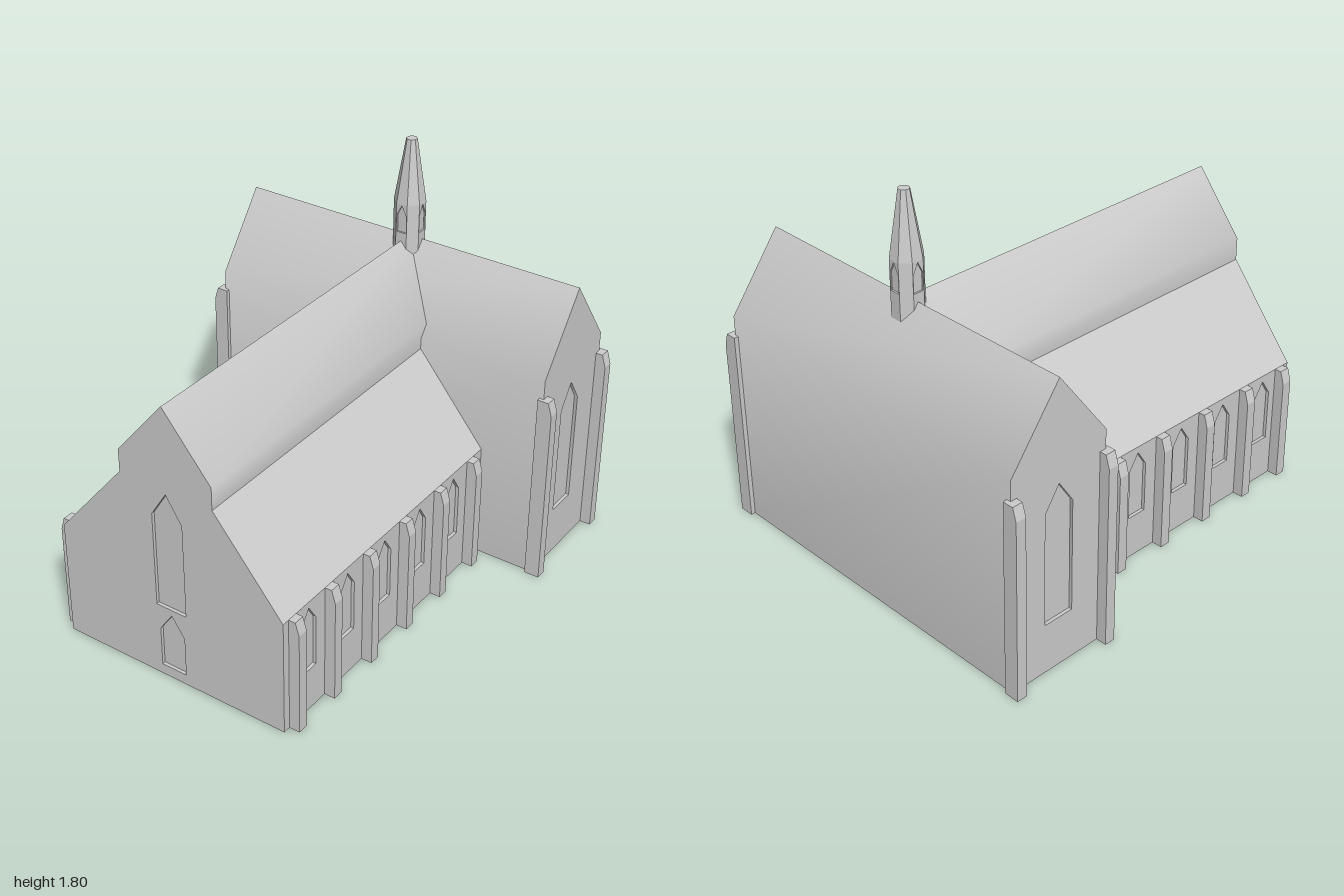
import * as THREE from 'three';
import { toCreasedNormals } from 'three/addons/utils/BufferGeometryUtils.js';

const stone = new THREE.MeshStandardMaterial({ color: 0xcccccc });
stone.name = 'paleStone';

const polygon = (pts) => new THREE.Shape(pts.map(([x, y]) => new THREE.Vector2(x, y)));

// Symmetric outline from its right half, listed bottom to top
const mirrored = (half, cx = 0) => polygon([
  ...half.map(([x, y]) => [cx + x, y]),
  ...half.slice().reverse().filter(([x]) => x > 0).map(([x, y]) => [cx - x, y]),
]);

// Pointed opening: centre, half width, sill, shoulder, apex
const lancet = (cx, w, sill, shoulder, apex) =>
  mirrored([[w, sill], [w, shoulder], [0, apex]], cx);

// Extrude from z0 to z1
function slab(shape, z0, z1) {
  const g = new THREE.ExtrudeGeometry(shape, { depth: z1 - z0, bevelEnabled: false });
  return g.translate(0, 0, z0);
}
// Extrude from x0 to x1, with the outline's horizontal axis along z
const slabX = (shape, x0, x1) => slab(shape, x0, x1).rotateY(Math.PI / 2);

export function createModel() {
  const root = new THREE.Group();
  root.name = 'church';
  const add = (name, geometry, parent = root) => {
    const m = new THREE.Mesh(geometry, stone);
    m.name = name;
    parent.add(m);
    return m;
  };
  const RECESS = 0.015;

  // Nave with sloping aisle roofs; window and door in the end wall
  const endWindow = () => lancet(0, 0.075, 0.36, 0.81, 0.93);
  const endDoor = () => lancet(0, 0.062, 0.05, 0.24, 0.33);
  const nave = mirrored([[0.545, 0], [0.545, 0.55], [0.56, 0.55], [0.23, 0.95]]);
  nave.holes.push(endWindow(), endDoor());
  add('naveAndAisles', slabX(nave, -1, 0.5));
  add('endWindowPane', slabX(endWindow(), -1 + RECESS, -0.97));
  add('endDoorPanel', slabX(endDoor(), -1 + RECESS, -0.97));

  // Clerestory and main roof, running into the crossing
  const upper = mirrored([[0.23, 0.95], [0.23, 1.055], [0, 1.335]]);
  add('clerestoryAndRoof', toCreasedNormals(slabX(upper, -1, 0.73), 0.75));

  // Aisle walls with five recessed windows each
  for (const side of [1, -1]) {
    const wall = polygon([[-1, 0], [0.5, 0], [0.5, 0.55], [-1, 0.55]]);
    for (let i = 0; i < 5; i++) {
      wall.holes.push(lancet(-0.83 + i * 0.27, 0.048, 0.205, 0.445, 0.52));
    }
    const [a, b] = side > 0 ? [0.545, 0.56] : [-0.56, -0.545];
    add(side > 0 ? 'frontAisleWall' : 'backAisleWall', slab(wall, a, b));
  }

  // Transept with a tall window in each gable
  const TX = 0.73, TZ = 0.845;
  const gableWindow = () => lancet(TX, 0.073, 0.235, 0.76, 0.87);
  const transept = mirrored([[0.25, 0], [0.25, 1.0], [0, 1.335]], TX);
  transept.holes.push(gableWindow());
  add('transept', toCreasedNormals(slab(transept, -TZ, TZ), 0.7));
  add('frontGablePane', slab(gableWindow(), TZ - 0.03, TZ - RECESS));
  add('backGablePane', slab(gableWindow(), -TZ + RECESS, -TZ + 0.03));

  // Buttresses with a chamfered outer top
  const buttressGeometry = (h) => slab(
    polygon([[-0.02, 0], [0.05, 0], [0.05, h - 0.06], [0.032, h], [-0.02, h]]),
    -0.025, 0.025,
  ).rotateY(-Math.PI / 2);
  const buttresses = new THREE.Group();
  buttresses.name = 'buttresses';
  root.add(buttresses);
  const low = buttressGeometry(0.55), high = buttressGeometry(0.91);
  const placeButtress = (name, geometry, x, z) => {
    for (const side of [1, -1]) {
      const m = add(name, geometry, buttresses);
      m.position.set(x, 0, side * z);
      m.rotation.y = side > 0 ? 0 : Math.PI;
    }
  };
  for (const x of [-0.94, -0.695, -0.425, -0.155, 0.115, 0.385]) {
    placeButtress('aisleButtress', low, x, 0.56);
  }
  for (const x of [0.487, 0.975]) placeButtress('transeptButtress', high, x, TZ);

  // Octagonal turret on the crossing
  const turret = new THREE.Group();
  turret.name = 'turret';
  turret.position.set(0.725, 0, 0);
  root.add(turret);
  const octagon = (top, bottom, y0, y1) => {
    const k = 1 / Math.cos(Math.PI / 8);
    const g = new THREE.CylinderGeometry(top * k, bottom * k, y1 - y0, 8);
    g.rotateY(Math.PI / 8).translate(0, (y0 + y1) / 2, 0);
    return toCreasedNormals(g, 0.3);
  };
  const R = 0.066, HALF = R * Math.tan(Math.PI / 8);
  add('turretCore', octagon(R - 0.008, R - 0.008, 1.15, 1.51), turret);
  add('turretSpire', octagon(0.023, R, 1.51, 1.8), turret);
  // Face panels, alternate ones pierced
  for (let i = 0; i < 8; i++) {
    const face = polygon([[-HALF, 1.2], [HALF, 1.2], [HALF, 1.51], [-HALF, 1.51]]);
    if (i % 2 === 0) face.holes.push(lancet(0, 0.024, 1.375, 1.455, 1.505));
    add('turretPanel', slab(face, R - 0.008, R), turret).rotation.y = i * Math.PI / 4;
  }
  return root;
}
